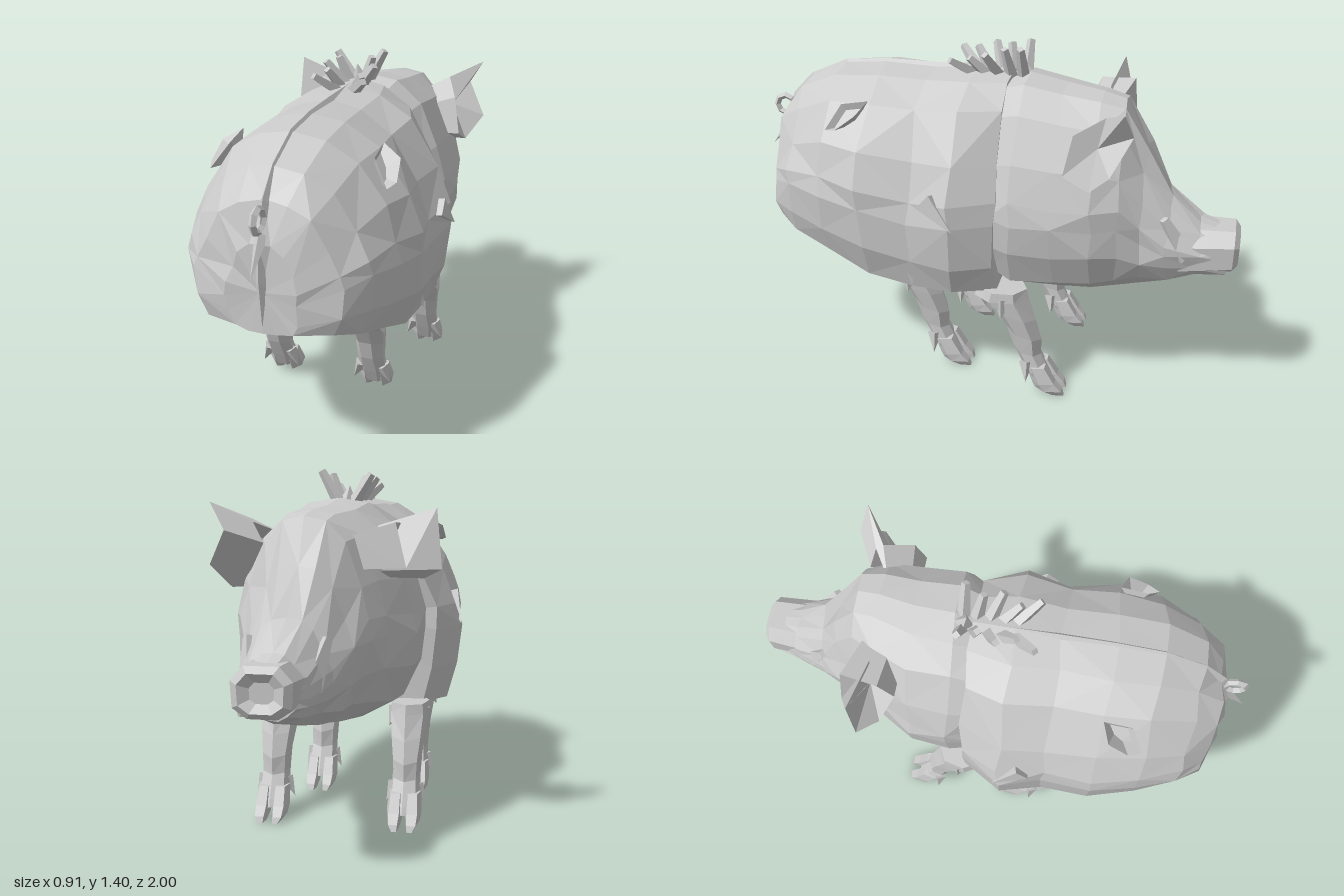
import * as THREE from 'three';

const mat = new THREE.MeshStandardMaterial({ color: 0xcccccc, flatShading: true });
const thin = new THREE.MeshStandardMaterial({ color: 0xcccccc, flatShading: true, side: THREE.DoubleSide });

// seeded noise for the hand-cut facets
let seed = 7;
const noise = (s) => {
  seed = (seed * 16807) % 2147483647;
  return (seed / 2147483647 - 0.5) * 2 * s;
};

function triangles(name, list, material = mat) {
  const g = new THREE.BufferGeometry();
  g.setAttribute('position', new THREE.Float32BufferAttribute(list.flat(), 3));
  g.computeVertexNormals();
  const m = new THREE.Mesh(g, material);
  m.name = name;
  return m;
}

const centre = (r) => [0, 1, 2].map((k) => r.reduce((s, p) => s + p[k], 0) / r.length);

// skin over closed rings of points, capped at both ends
function loft(name, rings) {
  const out = [];
  const n = rings[0].length;
  const first = rings[0], last = rings[rings.length - 1];
  const c0 = centre(first), c1 = centre(last);
  for (let j = 0; j < n; j++) {
    const k = (j + 1) % n;
    for (let i = 0; i + 1 < rings.length; i++) {
      const a = rings[i][j], b = rings[i][k], c = rings[i + 1][k], d = rings[i + 1][j];
      if ((i + j) % 2) out.push(a, b, c, a, c, d);
      else out.push(a, b, d, b, c, d);
    }
    out.push(c0, first[k], first[j], c1, last[j], last[k]);
  }
  return triangles(name, out);
}

// half outlines as fractions [width, height]: flat-bellied trunk, round-jawed head
const bodyHalf = [[0, 1], [0.3, 0.97], [0.58, 0.87], [0.84, 0.66], [0.96, 0.49], [1, 0.38], [0.95, 0.17], [0.86, 0.01], [0.42, 0], [0, 0]];
const headHalf = [[0, 1], [0.32, 0.98], [0.62, 0.88], [0.86, 0.68], [0.97, 0.52], [1, 0.42], [0.95, 0.27], [0.76, 0.11], [0.4, 0.02], [0, 0]];

// sections are [z, bottom, top, half width, centre x]
function trunk(name, profile, sections, wobble) {
  const outline = [...profile, ...profile.slice(1, -1).reverse().map(([x, y]) => [-x, y])];
  return loft(name, sections.map(([z, lo, hi, w, cx = 0]) => outline.map(([x, y]) => [
    cx + x * w + noise(wobble) * Math.min(1, Math.abs(x) * 2),
    lo + y * (hi - lo) + (y > 0 && y < 0.9 ? noise(wobble) : 0),
    z + noise(wobble),
  ])));
}

// tapered spike or, with an end radius, a blunt lock of hair
function spike(name, base, tip, r, sides = 4, end = 0) {
  const a = new THREE.Vector3(...base), b = new THREE.Vector3(...tip);
  const d = b.clone().sub(a);
  const m = new THREE.Mesh(new THREE.CylinderGeometry(end, r, d.length(), sides), mat);
  m.position.copy(a).add(b).multiplyScalar(0.5);
  m.quaternion.setFromUnitVectors(new THREE.Vector3(0, 1, 0), d.normalize());
  m.name = name;
  return m;
}

// open hollow scoop from a root point to a rim
function scoop(name, root, rim) {
  return triangles(name, rim.flatMap((p, i) => [root, p, rim[(i + 1) % rim.length]]), thin);
}

// ear: thick outer shell from the skull to the rim, with a shallow hollow inside
function ear(name, root, rim) {
  const g = new THREE.Group();
  g.name = name;
  const c = centre(rim);
  const base = rim.map((p) => p.map((v, k) => root[k] + (v - c[k]) * 0.75));
  const shell = rim.flatMap((p, i) => {
    const j = (i + 1) % rim.length;
    return [base[i], p, rim[j], base[i], rim[j], base[j]];
  });
  g.add(triangles('earShell', shell, thin));
  g.add(scoop('earHollow', c.map((v, k) => v + (root[k] - v) * 0.45), rim));
  return g;
}

// hoofed leg placed at x, shifted by dz from the hind position
function leg(name, x, dz) {
  const g = new THREE.Group();
  g.name = name;
  const ring = (cx, y, z, rx, rz, n, drop = 0) => Array.from({ length: n }, (_, i) => {
    const a = (i / n) * Math.PI * 2 + 0.3;
    return [cx + rx * Math.cos(a), Math.max(0, y + drop * Math.sin(a)), z + rz * Math.sin(a)];
  });
  g.add(loft('shank', [
    ring(0, 0.47, 0.33, 0.08, 0.1, 7),
    ring(0, 0.43, 0.335, 0.085, 0.115, 7),
    ring(0, 0.36, 0.28, 0.075, 0.09, 7, 0.03),
    ring(0, 0.27, 0.24, 0.062, 0.075, 7, 0.03),
    ring(0, 0.19, 0.225, 0.058, 0.058, 7, 0.02),
    ring(0, 0.1, 0.18, 0.064, 0.058, 7, 0.02),
    ring(0, 0.05, 0.155, 0.05, 0.045, 7),
  ]));
  for (const s of [-1, 1]) {
    g.add(loft('toe', [
      ring(s * 0.034, 0.13, 0.18, 0.032, 0.045, 5),
      ring(s * 0.036, 0.06, 0.145, 0.036, 0.055, 5),
      ring(s * 0.036, 0.025, 0.122, 0.03, 0.062, 5),
      ring(s * 0.03, 0, 0.095, 0.016, 0.04, 5),
    ]));
    g.add(spike('dewclaw', [s * 0.045, 0.15, 0.22], [s * 0.08, 0.07, 0.215], 0.03));
    g.add(spike('kneeTuft', [s * 0.05, 0.43, 0.32], [s * 0.085, 0.36, 0.32], 0.04));
  }
  g.position.set(x, 0, dz);
  return g;
}

export function createModel() {
  const pig = new THREE.Group();
  pig.name = 'boar';

  // trunk and head, the head turned slightly to its side
  pig.add(trunk('body', bodyHalf, [
    [0.92, 0.65, 0.98, 0.13], [0.87, 0.65, 1.11, 0.27], [0.78, 0.63, 1.2, 0.34],
    [0.62, 0.57, 1.27, 0.395], [0.45, 0.5, 1.285, 0.435], [0.25, 0.45, 1.28, 0.42],
    [0.08, 0.45, 1.29, 0.45], [-0.08, 0.45, 1.29, 0.37],
  ], 0.012));
  pig.add(trunk('head', headHalf, [
    [-0.05, 0.45, 1.26, 0.32, 0.02], [-0.14, 0.41, 1.29, 0.355, 0.025], [-0.3, 0.43, 1.265, 0.34, 0.04],
    [-0.45, 0.45, 1.25, 0.29, 0.07], [-0.54, 0.46, 1.23, 0.24, 0.08], [-0.63, 0.485, 1.06, 0.2, 0.08],
    [-0.73, 0.515, 0.89, 0.165, 0.1], [-0.85, 0.55, 0.79, 0.125, 0.115],
    [-0.95, 0.585, 0.76, 0.1, 0.12],
  ], 0.01));

  // boxy snout, narrowing slightly to the nose plate
  const plate = (z, s, drop = 0) => [[-0.06, 0.77], [0.06, 0.77], [0.105, 0.72], [0.1, 0.63], [0.05, 0.595], [-0.05, 0.595], [-0.1, 0.63], [-0.105, 0.72]]
    .map(([x, y]) => [0.12 + x * s, 0.68 + (y - 0.68) * s - drop, z]);
  pig.add(loft('snout', [plate(-0.78, 1.15, 0.02), plate(-0.88, 1.08, 0.01), plate(-0.98, 1), plate(-1, 0.75), plate(-0.98, 0.4)]));

  // blunt tusk folds at the corners of the mouth
  for (const s of [-1, 1]) {
    pig.add(spike('tuskFold', [0.11 + s * 0.1, 0.66, -0.79], [0.1 + s * 0.14, 0.82, -0.71], 0.05, 4, 0.02));
  }

  // hollow ears
  pig.add(ear('leftEar', [0.24, 1.09, -0.44], [
    [0.42, 1.28, -0.56], [0.36, 1.18, -0.59], [0.44, 1.05, -0.52], [0.38, 0.96, -0.44], [0.37, 1.01, -0.34], [0.34, 1.16, -0.37], [0.29, 1.22, -0.48],
  ]));
  pig.add(ear('rightEar', [-0.12, 1.09, -0.42], [
    [-0.39, 1.26, -0.47], [-0.41, 1.04, -0.46], [-0.34, 1.0, -0.39], [-0.26, 1.08, -0.34], [-0.27, 1.2, -0.39], [-0.25, 1.21, -0.53], [-0.29, 1.05, -0.54],
  ]));

  // skin folds on hips, shoulders and flanks
  for (const s of [-1, 1]) {
    pig.add(scoop('hipFold', [s * 0.25, 1.1, 0.5], [
      [s * 0.27, 1.2, 0.44], [s * 0.34, 1.16, 0.47], [s * 0.35, 1.1, 0.55], [s * 0.33, 1.09, 0.6], [s * 0.27, 1.18, 0.55],
    ]));
    pig.add(spike('shoulderFold', [s * 0.4, 0.87, 0.17], [s * 0.455, 0.77, 0.06], 0.05));
    pig.add(spike('flankFold', [s * 0.34, 0.66, 0.28], [s * 0.385, 0.47, 0.25], 0.06));
  }

  // legs
  pig.add(leg('rearLeftLeg', 0.165, 0), leg('rearRightLeg', -0.25, 0));
  pig.add(leg('frontLeftLeg', 0.28, -0.43), leg('frontRightLeg', -0.26, -0.43));

  // thin ridge along the back and down the rump
  const ridge = [[0.0, 1.29], [0.25, 1.295], [0.45, 1.295], [0.63, 1.28], [0.79, 1.21], [0.88, 1.12], [0.93, 0.98], [0.94, 0.85], [0.925, 0.68]];
  const strip = [];
  for (let i = 0; i + 1 < ridge.length; i++) {
    const [z0, y0] = ridge[i], [z1, y1] = ridge[i + 1];
    for (const s of [-0.018, 0.018]) {
      const a = [0, y0, z0], b = [0, y1, z1], c = [s, y1 - 0.025, z1 - 0.02], d = [s, y0 - 0.025, z0 - 0.02];
      strip.push(a, b, c, a, c, d);
    }
  }
  pig.add(triangles('backRidge', strip, thin));

  // two clumps of blunt mane locks fanning out from the withers
  for (const s of [-1, 1]) {
    for (let i = 0; i < 5; i++) {
      const z = -0.1 + i * 0.05;
      pig.add(spike('maneLock', [s * 0.03, 1.27, z - 0.02],
        [s * (0.1 - (i % 2) * 0.03), 1.39 - i * 0.013 + noise(0.01), z + (i - 1) * 0.02], 0.026, 4, 0.016));
    }
  }
  pig.add(spike('maneCrest', [0, 1.25, -0.12], [-0.01, 1.34, -0.1], 0.05, 4));

  // curled tail with a drooping tip
  const curl = new THREE.Mesh(new THREE.TorusGeometry(0.04, 0.014, 4, 8), mat);
  curl.name = 'tailCurl';
  curl.rotation.y = Math.PI / 2;
  curl.position.set(0, 1.06, 0.925);
  pig.add(curl, spike('tailTip', [0, 1.0, 0.9], [0, 0.88, 1.0], 0.025));
  return pig;
}
